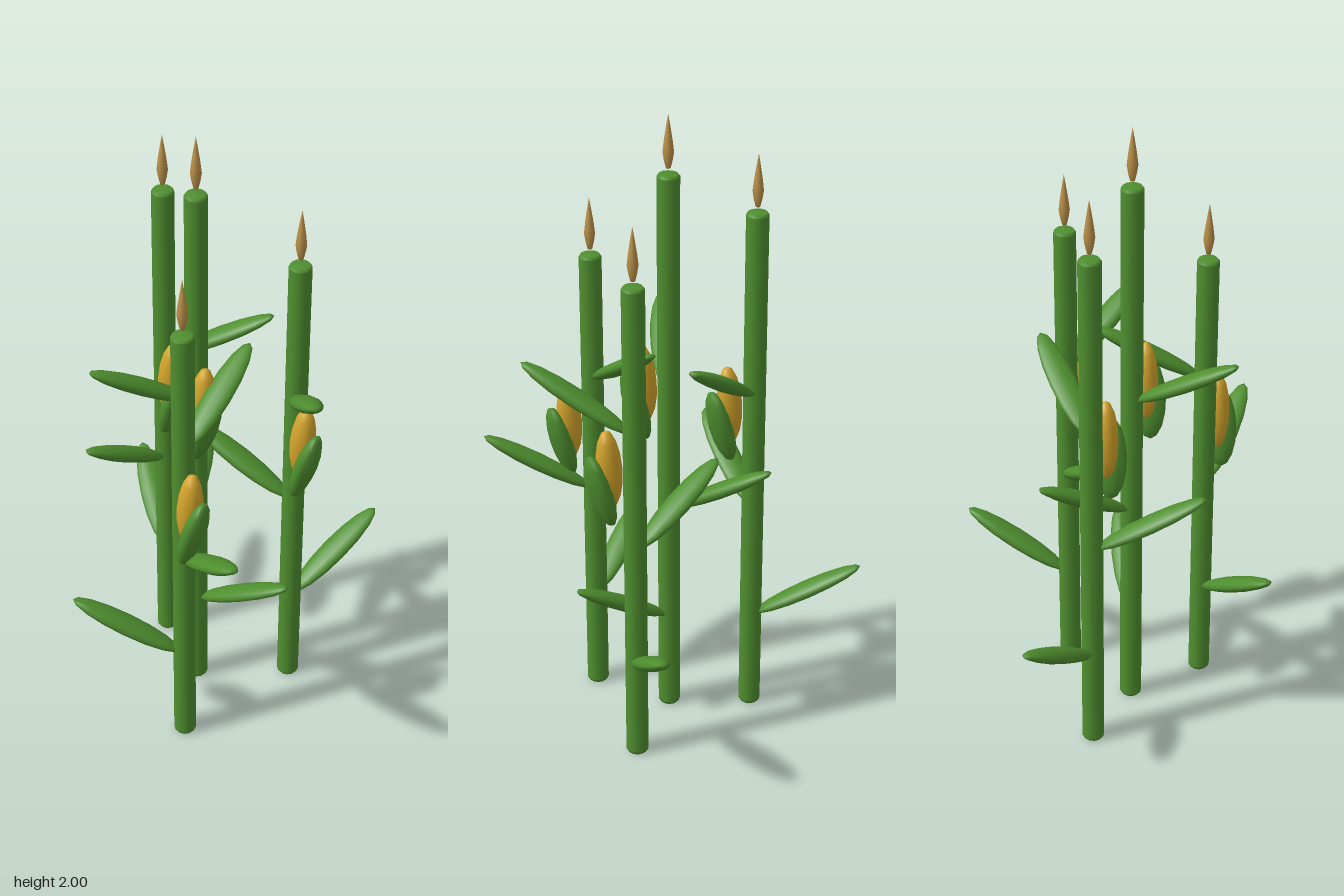
import * as THREE from 'three';

const material = (name, color) => {
  const m = new THREE.MeshStandardMaterial({ color });
  m.name = name;
  return m;
};

// Each stalk: position, height and the headings (dx, dz) of its low, middle and high leaf
const STALKS = [
  { x: -0.215, z: -0.105, h: 1.70, leaves: [[-0.26, -0.225], [-0.055, 0.34], [0.325, -0.125]] },
  { x: 0.005, z: 0.04, h: 1.82, leaves: [[0.345, 0], [-0.175, -0.30], [-0.175, 0.30]] },
  { x: 0.127, z: 0.285, h: 1.52, leaves: [[-0.30, 0.175], [0.30, 0.175], [0.003, -0.345]] },
  { x: 0.25, z: -0.14, h: 1.58, leaves: [[0.118, -0.325], [-0.345, 0.055], [0.225, 0.265]] },
];

const lathe = (points, sides) =>
  new THREE.LatheGeometry(points.map(([r, y]) => new THREE.Vector2(r, y)), sides);

export function createModel() {
  const model = new THREE.Group();
  model.name = 'cornStalks';
  const green = material('leaf green', 0x4f8f2f);
  const yellow = material('cob yellow', 0xd6a62c);
  const tan = material('tassel tan', 0xbd934a);

  // Leaf: flattened ellipsoid lying along x
  const leafGeo = new THREE.SphereGeometry(1, 12, 8).rotateZ(Math.PI / 2).scale(0.192, 0.024, 0.045);
  const cobGeo = new THREE.SphereGeometry(1, 12, 8).scale(0.04, 0.13, 0.038);
  const huskGeo = new THREE.SphereGeometry(1, 12, 8).scale(0.032, 0.13, 0.052);
  const tasselGeo = lathe([[0, 0], [0.007, 0.001], [0.013, 0.025], [0.017, 0.05], [0.013, 0.085],
    [0.006, 0.13], [0, 0.165]], 6);

  STALKS.forEach(({ x, z, h, leaves }, i) => {
    const plant = new THREE.Group();
    plant.name = `plant${i + 1}`;
    plant.position.set(x, 0, z);
    model.add(plant);

    const add = (name, geometry, mat, px, py, pz) => {
      const mesh = new THREE.Mesh(geometry, mat);
      mesh.name = name;
      mesh.position.set(px, py, pz);
      plant.add(mesh);
      return mesh;
    };

    // Stalk with softly bevelled ends
    add('stalk', lathe([[0, 0], [0.029, 0], [0.035, 0.008], [0.035, 0.012], [0.035, h - 0.012],
      [0.035, h - 0.008], [0.029, h], [0, h]], 12), green, 0, 0, 0);
    add('tassel', tasselGeo, tan, 0, h + 0.015, 0);

    // Ear with its leaning husk
    const ear = h * 0.63;
    add('cob', cobGeo, yellow, 0.058, ear, 0.05).rotation.z = -0.08;
    add('husk', huskGeo, green, 0.08, ear - 0.075, 0.064).rotation.z = -0.28;

    // Three rising leaves
    leaves.forEach(([dx, dz], k) => {
      const a = Math.atan2(dz, dx);
      const leaf = add('leaf', leafGeo, green, Math.cos(a) * 0.18, 0.43 + k * 0.39, Math.sin(a) * 0.18);
      leaf.rotation.set(0, -a, 0.52, 'YXZ');
    });
  });
  return model;
}
